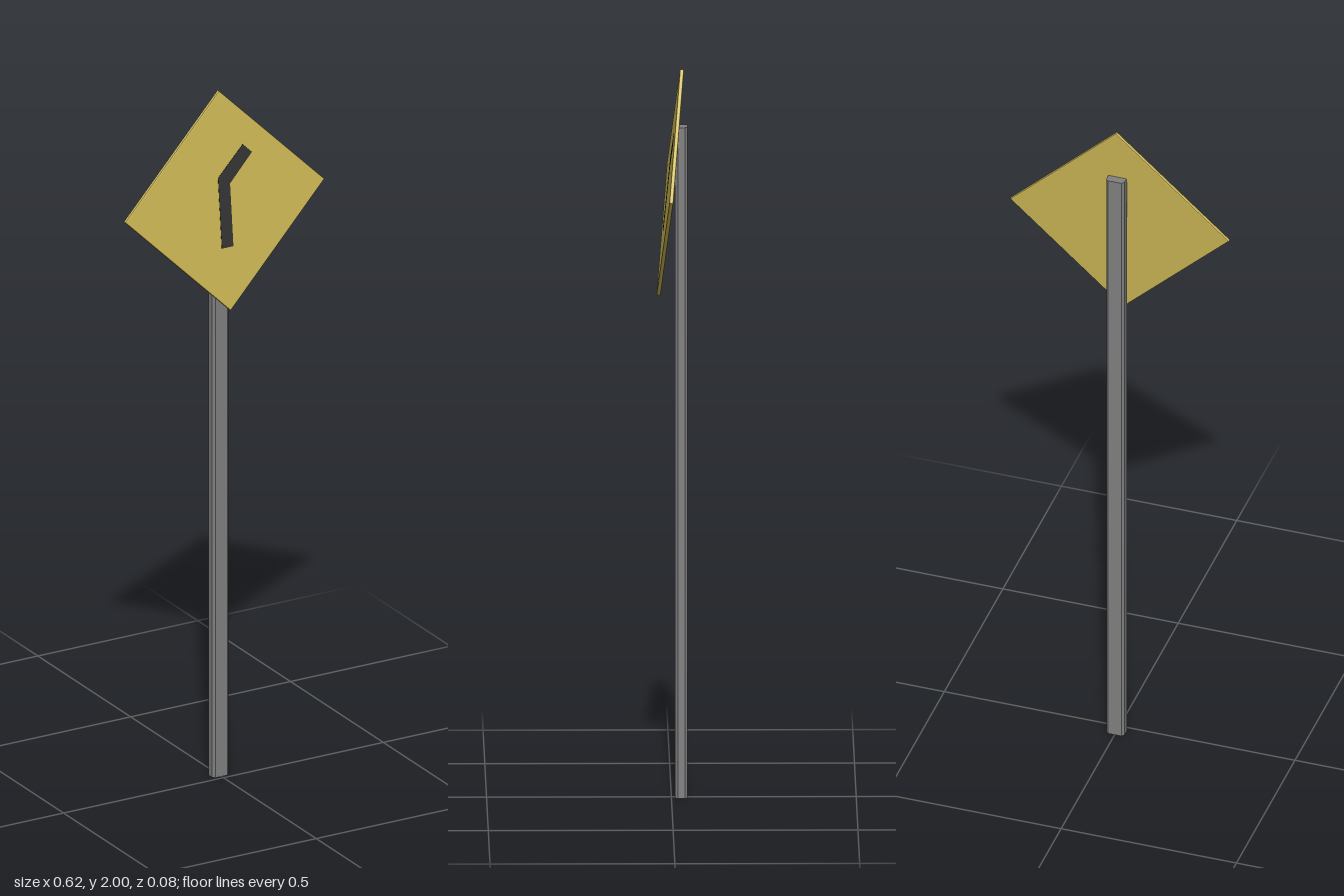
import * as THREE from 'three';

const POST = { w: 0.052, d: 0.033, h: 1.845, cut: 0.007, z: -0.0265 };
const SIGN = { r: 0.312, t: 0.011, bevel: 0.003, y: 1.69, z: 0.003, tilt: -0.102 };

function polygon(points) {
  return new THREE.Shape(points.map(([x, y]) => new THREE.Vector2(x, y)));
}

function part(name, geometry, color) {
  const mesh = new THREE.Mesh(geometry, new THREE.MeshStandardMaterial({ color, flatShading: true }));
  mesh.name = name;
  return mesh;
}

export function createModel() {
  const model = new THREE.Group();
  model.name = 'roadSign';

  // Upright post with chamfered vertical edges
  const a = POST.w / 2, b = POST.d / 2, c = POST.cut;
  const section = polygon([
    [a - c, -b], [a, -b + c], [a, b - c], [a - c, b],
    [-a + c, b], [-a, b - c], [-a, -b + c], [-a + c, -b],
  ]);
  const postGeometry = new THREE.ExtrudeGeometry(section, { depth: POST.h, bevelEnabled: false });
  postGeometry.rotateX(-Math.PI / 2);
  const post = part('post', postGeometry, 0x808080);
  post.position.z = POST.z;
  model.add(post);

  // Tilted sign head, holding the panel and its marking
  const head = new THREE.Group();
  head.name = 'signHead';
  head.position.set(0, SIGN.y, SIGN.z);
  head.rotation.x = SIGN.tilt;
  model.add(head);

  // Diamond panel with softened rim
  const r = SIGN.r;
  const panelGeometry = new THREE.ExtrudeGeometry(polygon([[r, 0], [0, r], [-r, 0], [0, -r]]), {
    depth: SIGN.t - 2 * SIGN.bevel,
    bevelThickness: SIGN.bevel,
    bevelSize: SIGN.bevel,
    bevelOffset: -SIGN.bevel,
    bevelSegments: 2,
  });
  panelGeometry.translate(0, 0, SIGN.bevel - SIGN.t / 2);
  head.add(part('panel', panelGeometry, 0xcdb855));

  // Bent bar marking on the front face
  const bar = polygon([
    [-0.018, -0.132], [0.018, -0.132], [0.018, 0.046],
    [0.091, 0.121], [0.064, 0.148], [-0.018, 0.068],
  ]);
  const barGeometry = new THREE.ExtrudeGeometry(bar, { depth: 0.001, bevelEnabled: false });
  barGeometry.translate(0, 0, SIGN.t / 2);
  head.add(part('bentBarMarking', barGeometry, 0x333333));

  return model;
}
